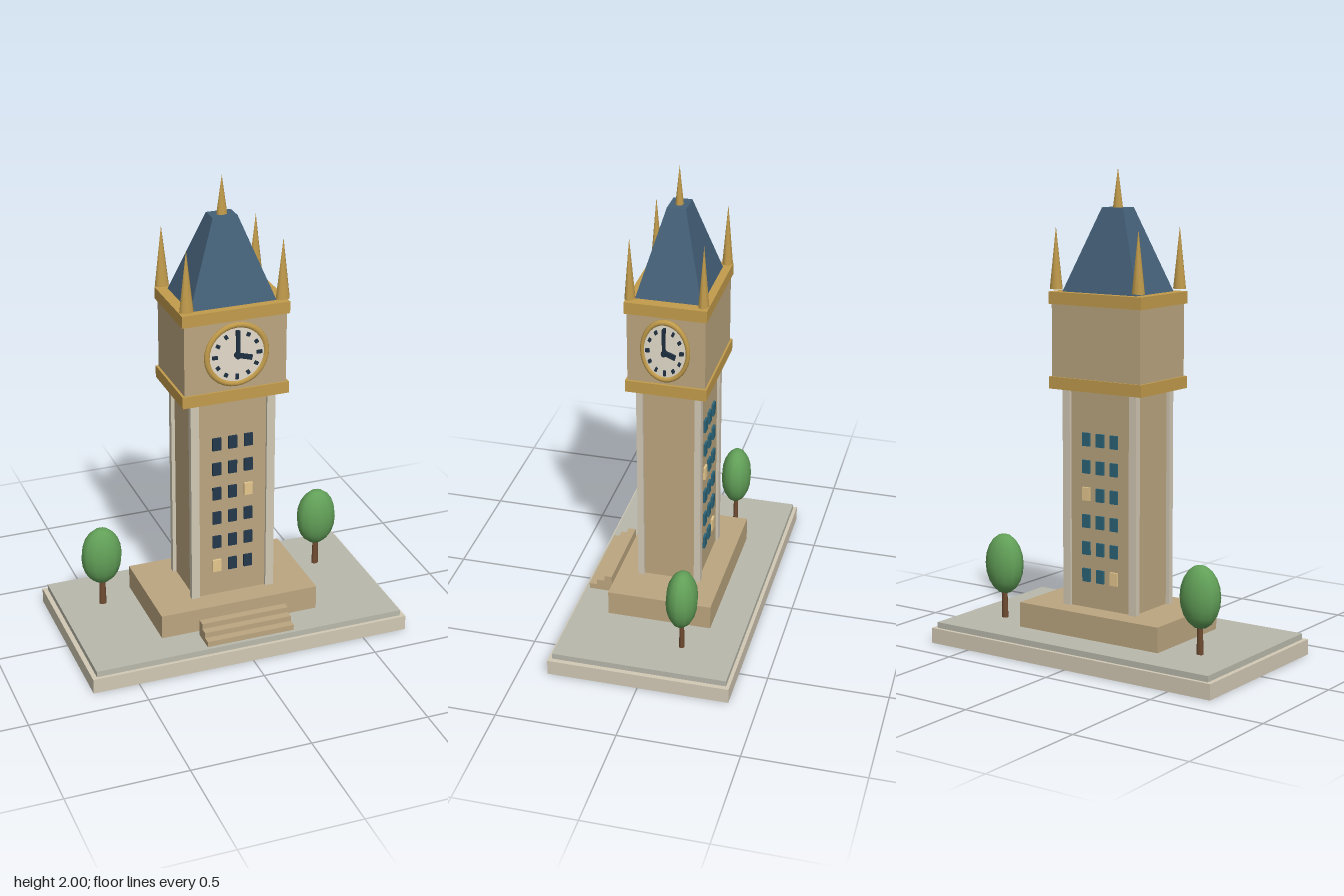
import * as THREE from 'three';

const mat = (color, flat = false) => new THREE.MeshStandardMaterial({ color, flatShading: flat });
const M = {
  stone: mat(0xbca680), pale: mat(0xd2c9b5), paving: mat(0xb9b9ac), gold: mat(0xc29c4c),
  roof: mat(0x446078, true), glass: mat(0x24384c), backGlass: mat(0x2c6478), lit: mat(0xe6c88e),
  dial: mat(0xe4dccb), dark: mat(0x1e2f40), leaf: mat(0x62a058), bark: mat(0x704c32),
};
const DEPTH = 0.735; // the tower is shallower than it is wide

function add(parent, name, geometry, material, x = 0, y = 0, z = 0) {
  const mesh = new THREE.Mesh(geometry, material);
  mesh.name = name;
  mesh.position.set(x, y, z);
  parent.add(mesh);
  return mesh;
}

// Box given by its bottom and top heights
function block(parent, name, material, w, d, y0, y1, x = 0, z = 0) {
  return add(parent, name, new THREE.BoxGeometry(w, y1 - y0, d), material, x, (y0 + y1) / 2, z);
}

function group(parent, name) {
  const g = new THREE.Group();
  g.name = name;
  parent.add(g);
  return g;
}

// Clock facing +z, with z = 0 on the wall
function clock(parent, name) {
  const g = group(parent, name);
  const face = new THREE.CylinderGeometry(0.125, 0.125, 0.02, 32).rotateX(Math.PI / 2);
  add(g, 'dial', face, M.dial, 0, 0, 0.008);
  add(g, 'dialRim', new THREE.TorusGeometry(0.126, 0.0125, 8, 32), M.gold, 0, 0, 0.014);
  for (let i = 0; i < 12; i++) {
    const a = i * Math.PI / 6;
    const mark = add(g, 'hourMark', new THREE.BoxGeometry(0.014, i % 3 ? 0.016 : 0.022, 0.012), M.dark,
      Math.sin(a) * 0.094, Math.cos(a) * 0.094, 0.022);
    mark.rotation.z = -a;
  }
  const hand = (label, length, width, angle, z) => {
    const geometry = new THREE.BoxGeometry(width, length, 0.01).translate(0, length / 2 - 0.008, 0);
    add(g, label, geometry, M.dark, 0, 0, z).rotation.z = -angle;
  };
  hand('hourHand', 0.072, 0.021, 1.85, 0.029);
  hand('minuteHand', 0.115, 0.016, 0, 0.036);
  add(g, 'handHub', new THREE.CylinderGeometry(0.014, 0.014, 0.02, 12).rotateX(Math.PI / 2), M.dark, 0, 0, 0.032);
  return g;
}

function tree(parent, x, z) {
  const g = group(parent, 'tree');
  g.position.set(x, 0.09, z);
  g.scale.z = DEPTH;
  add(g, 'trunk', new THREE.CylinderGeometry(0.012, 0.016, 0.15, 8), M.bark, 0, 0.075, 0);
  add(g, 'foliage', new THREE.SphereGeometry(1, 12, 10).scale(0.089, 0.13, 0.089), M.leaf, 0, 0.235, 0);
}

export function createModel() {
  const model = new THREE.Group();
  model.name = 'clockTower';

  // Ground slab and plinth
  block(model, 'baseSlab', M.pale, 1.39, 0.76, 0, 0.065);
  block(model, 'paving', M.paving, 1.35, 0.73, 0.065, 0.09);
  block(model, 'plinth', M.stone, 0.693, 0.44, 0.09, 0.195);

  // Front steps
  for (let i = 0; i < 3; i++) {
    block(model, 'step', M.stone, 0.383, 0.033, 0.09, 0.114 + i * 0.024, 0, 0.333 - i * 0.033);
  }

  for (const s of [-1, 1]) tree(model, s * 0.493, -0.136);

  // Tower, laid out square and narrowed in depth
  const tower = group(model, 'tower');
  tower.scale.z = DEPTH;
  block(tower, 'shaft', M.stone, 0.335, 0.335, 0.195, 1.105);
  block(tower, 'lowerCornice', M.gold, 0.455, 0.455, 1.102, 1.152);
  block(tower, 'clockStage', M.stone, 0.434, 0.434, 1.152, 1.45);
  block(tower, 'upperCornice', M.gold, 0.455, 0.455, 1.45, 1.5);

  // Corner pilasters and pinnacles
  for (const sx of [-1, 1]) for (const sz of [-1, 1]) {
    block(tower, 'pilaster', M.pale, 0.036, 0.036, 0.195, 1.104, sx * 0.165, sz * 0.165);
    add(tower, 'pinnacle', new THREE.ConeGeometry(0.03, 0.255, 8), M.gold, sx * 0.202, 1.638, sz * 0.202);
  }

  // Windows on the front and back, two of them lit
  for (const side of [1, -1]) for (let row = 0; row < 6; row++) for (let col = -1; col <= 1; col++) {
    const lit = (row === 0 && col === -1) || (row === 3 && col === 1);
    const y = 0.333 + row * 0.1135;
    block(tower, 'window', lit ? M.lit : side > 0 ? M.glass : M.backGlass,
      0.037, 0.02, y - 0.0275, y + 0.0275, col * 0.069, side * 0.17);
  }

  // Clocks on the front and on the model's left
  clock(tower, 'frontClock').position.set(0, 1.308, 0.217);
  const sideClock = clock(tower, 'sideClock');
  sideClock.position.set(0.217, 1.308, 0);
  sideClock.rotation.y = Math.PI / 2;

  // Tapered four-sided roof and finial
  const roof = new THREE.CylinderGeometry(0.052 * Math.SQRT2, 0.182 * Math.SQRT2, 0.34, 4).rotateY(Math.PI / 4);
  add(tower, 'roof', roof, M.roof, 0, 1.67, 0);
  add(tower, 'finial', new THREE.ConeGeometry(0.023, 0.16, 8), M.gold, 0, 1.92, 0);

  return model;
}
